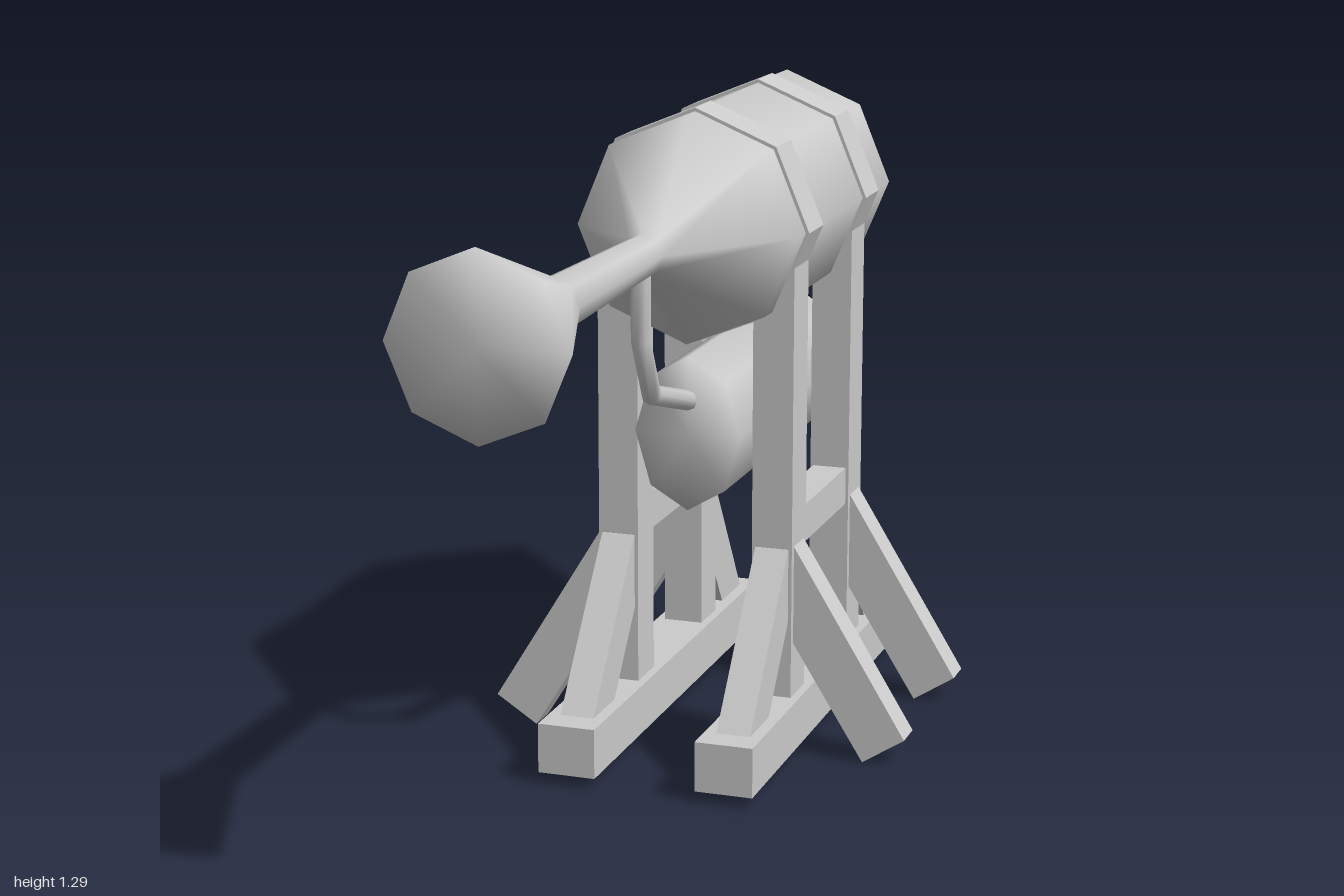
import * as THREE from 'three';

const AXIS_Y = 1.06; // height of the barrel axis
const POST_Z = [-0.146, -0.546];

export function createModel() {
  const model = new THREE.Group();
  const smooth = new THREE.MeshStandardMaterial({ color: 0xcccccc });
  const flat = new THREE.MeshStandardMaterial({ color: 0xcccccc, flatShading: true });

  const add = (name, geometry, material = flat) => {
    const mesh = new THREE.Mesh(geometry, material);
    mesh.name = name;
    model.add(mesh);
    return mesh;
  };

  // Eight-sided solid turned around the z axis from [z, radius] pairs, back to front
  const turned = (profile) => new THREE.LatheGeometry(
    profile.map(([z, r]) => new THREE.Vector2(r, z)), 8).rotateX(Math.PI / 2);

  // Box given by its low and high corner
  const box = (x0, x1, y0, y1, z0, z1) => new THREE.BoxGeometry(x1 - x0, y1 - y0, z1 - z0)
    .translate((x0 + x1) / 2, (y0 + y1) / 2, (z0 + z1) / 2);

  // Flat outline given thickness, centred on its own plane
  const plate = (points, depth) => new THREE.ExtrudeGeometry(
    new THREE.Shape(points.map(([a, b]) => new THREE.Vector2(a, b))),
    { depth, bevelEnabled: false }).translate(0, 0, -depth / 2);

  // Barrel: pointed back, wide body, thin neck and flared muzzle
  add('barrel', turned([
    [-1, 0], [-0.87, 0.115], [-0.805, 0.168], [-0.7, 0.223], [-0.05, 0.223],
    [0.2, 0.04], [0.66, 0.05], [1, 0.165], [1, 0],
  ]), smooth).position.y = AXIS_Y;

  // Oval tank slung below the barrel
  const tank = add('tank', turned([
    [-0.76, 0], [-0.76, 0.154], [-0.055, 0.154], [-0.055, 0],
  ]), smooth);
  tank.position.y = 0.657;
  tank.scale.x = 0.7;

  // Bent feed pipe from the neck to the tank, one ring per bend
  const bends = [[1.04, 0.212], [0.9, 0.213], [0.785, 0.155], [0.715, -0.09]]
    .map(([y, z]) => new THREE.Vector3(0, y, z));
  const path = new THREE.Curve();
  path.getPoint = (t, target = new THREE.Vector3()) => {
    const s = Math.min(Math.max(t, 0), 1) * (bends.length - 1);
    const i = Math.min(Math.floor(s), bends.length - 2);
    return target.lerpVectors(bends[i], bends[i + 1], s - i);
  };
  path.getPointAt = path.getPoint;
  path.getTangentAt = path.getTangent;
  add('feedPipe', new THREE.TubeGeometry(path, bends.length - 1, 0.02, 8), smooth);

  // Straps around the barrel
  for (const z of POST_Z) {
    add('strap', new THREE.CylinderGeometry(0.23, 0.23, 0.095, 8).rotateX(Math.PI / 2))
      .position.set(0, AXIS_Y, z);
  }

  // Timber stand, one half per side
  for (const side of [-1, 1]) {
    const x = 0.16 * side;
    add('groundBeam', box(x - 0.058, x + 0.058, 0.023, 0.123, -0.834, 0.203));
    add('sideRail', box(x - 0.035, x + 0.035, 0.415, 0.492, POST_Z[1], POST_Z[0]));

    for (const z of POST_Z) {
      add('post', box(x - 0.041, x + 0.041, 0.06, 1.05, z - 0.047, z + 0.047));
      add('outerBrace', plate([
        [0.19 * side, 0.45], [0.2 * side, 0.433], [0.431 * side, 0.055],
        [0.346 * side, 0], [0.19 * side, 0.25],
      ], 0.066)).position.z = z;
    }

    // Braces leaning forward and backward onto the beam
    const frontOutline = [[-0.105, 0.43], [-0.098, 0.428], [0.178, 0.078], [0.107, 0.015], [-0.105, 0.285]];
    const backOutline = [[-0.585, 0.43], [-0.593, 0.428], [-0.826, 0.064], [-0.738, 0.005], [-0.585, 0.24]];
    add('frontBrace', plate(frontOutline, 0.068).rotateY(-Math.PI / 2)).position.x = x;
    add('backBrace', plate(backOutline, 0.068).rotateY(-Math.PI / 2)).position.x = x;
  }

  return model;
}
